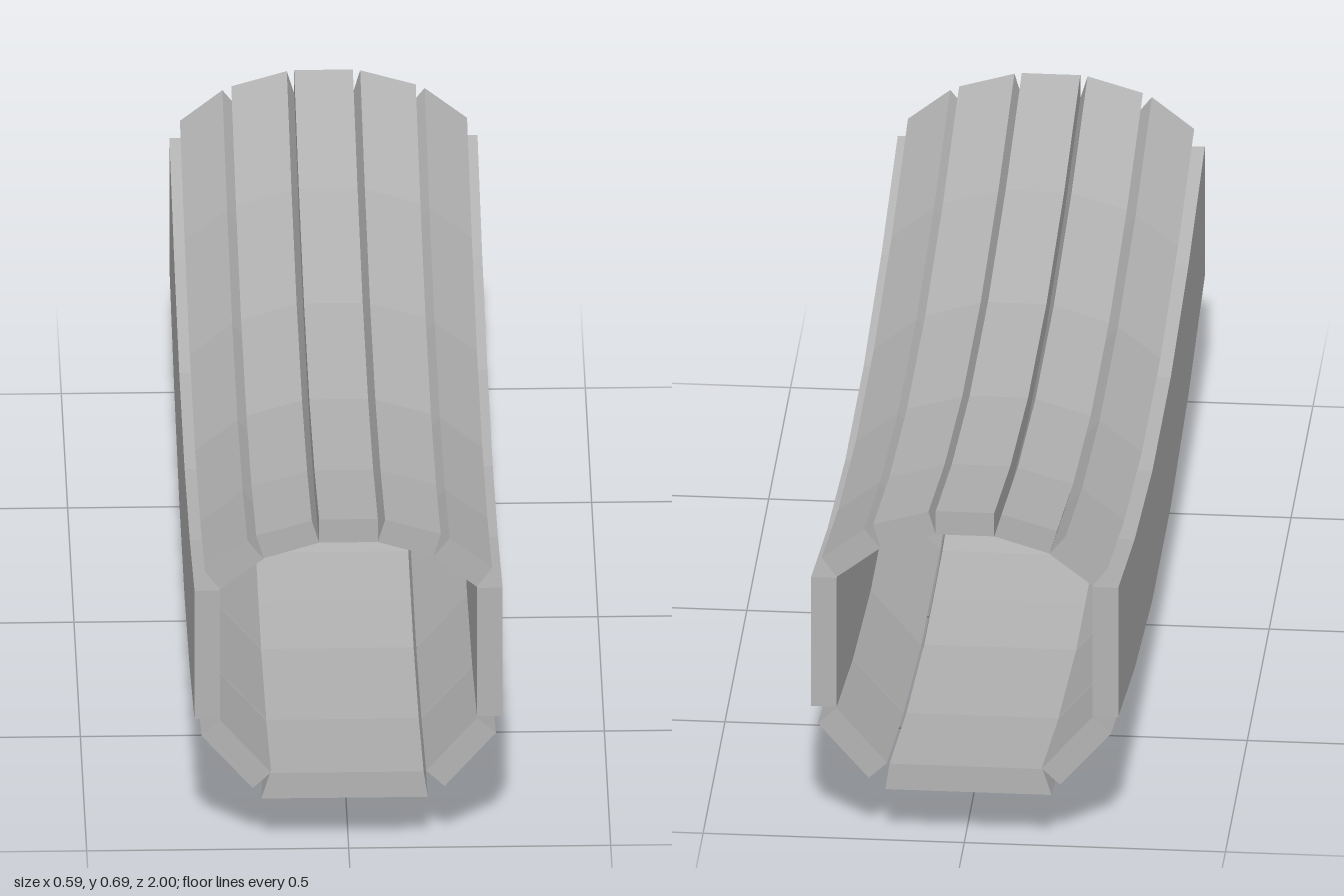
import * as THREE from 'three';

// Sweeps a convex cross-section (counter-clockwise from the front) through
// stations [z, lift]; outline may be a function of z.
function sweep(outline, stations) {
  const pos = [];
  const rings = stations.map(([z, lift]) => {
    const pts = typeof outline === 'function' ? outline(z) : outline;
    return pts.map(([x, y]) => [x, y + lift, z]);
  });
  const tri = (a, b, c) => pos.push(...a, ...b, ...c);
  const n = rings[0].length;
  for (let s = 0; s < rings.length - 1; s++) {
    const r0 = rings[s], r1 = rings[s + 1];
    for (let i = 0; i < n; i++) {
      const j = (i + 1) % n;
      tri(r0[i], r0[j], r1[j]);
      tri(r0[i], r1[j], r1[i]);
    }
  }
  const back = rings[0], front = rings[rings.length - 1];
  for (let i = 1; i < n - 1; i++) {
    tri(front[0], front[i], front[i + 1]);
    tri(back[0], back[i + 1], back[i]);
  }
  const geo = new THREE.BufferGeometry();
  geo.setAttribute('position', new THREE.Float32BufferAttribute(pos, 3));
  geo.computeVertexNormals();
  return geo;
}

const mirror = (pts) => pts.map(([x, y]) => [-x, y]).reverse();

// Curve of the tunnel: flat in the middle, rising to both ends
const path = (end) => [
  [-end, 0.12], [-0.615, 0.046], [-0.21, 0],
  [0.21, 0], [0.615, 0.046], [end, 0.12],
];

export function createModel() {
  const group = new THREE.Group();
  const grey = new THREE.MeshStandardMaterial({ color: 0xb4b4b4, flatShading: true });
  grey.name = 'concrete grey';

  const add = (name, geo) => {
    const mesh = new THREE.Mesh(geo, grey);
    mesh.name = name;
    group.add(mesh);
  };
  const addPair = (name, pts, stations) => {
    add(name + 'Left', sweep(pts, stations));
    add(name + 'Right', sweep(mirror(pts), stations));
  };

  // Arched roof of five planks
  add('roofCentre', sweep([[-0.056, 0.52], [0.056, 0.52], [0.056, 0.569], [-0.056, 0.569]], path(0.983)));
  addPair('roofInner', [[0.056, 0.52], [0.162, 0.488], [0.176, 0.536], [0.07, 0.567]], path(0.983));
  addPair('roofOuter', [[0.162, 0.488], [0.245, 0.424], [0.274, 0.463], [0.193, 0.527]], path(0.985));

  // Upright side walls
  addPair('sideWall', [[0.245, 0.152], [0.294, 0.152], [0.294, 0.424], [0.245, 0.424]], path(0.99));

  // Sloping lower walls, made of separate panels with fine joints
  const lower = [[0.148, 0.041], [0.183, 0.008], [0.281, 0.12], [0.245, 0.152]];
  const stations = path(0.997);
  const gap = 0.003;
  for (let i = 0; i < stations.length - 1; i++) {
    const [z0, y0] = stations[i], [z1, y1] = stations[i + 1];
    const a = [i === 0 ? z0 : z0 + gap, y0];
    const b = [i === stations.length - 2 ? z1 : z1 - gap, y1];
    addPair('lowerWall' + (i + 1), lower, [a, b]);
  }

  // Floor, its underside bending more gently than its top
  const under = (z) => {
    const a = Math.abs(z);
    if (a > 0.9) return 0.107 - 0.12;
    if (a > 0.5) return 0.052 - 0.046;
    return 0.002;
  };
  const floorOutline = (z) => {
    const y = under(z);
    return [[-0.167, y], [0.151, y], [0.143, 0.041], [-0.15, 0.041]];
  };
  const floorPath = path(1);
  floorPath.splice(3, 0, [0, -0.002]);
  add('floor', sweep(floorOutline, floorPath));

  return group;
}
